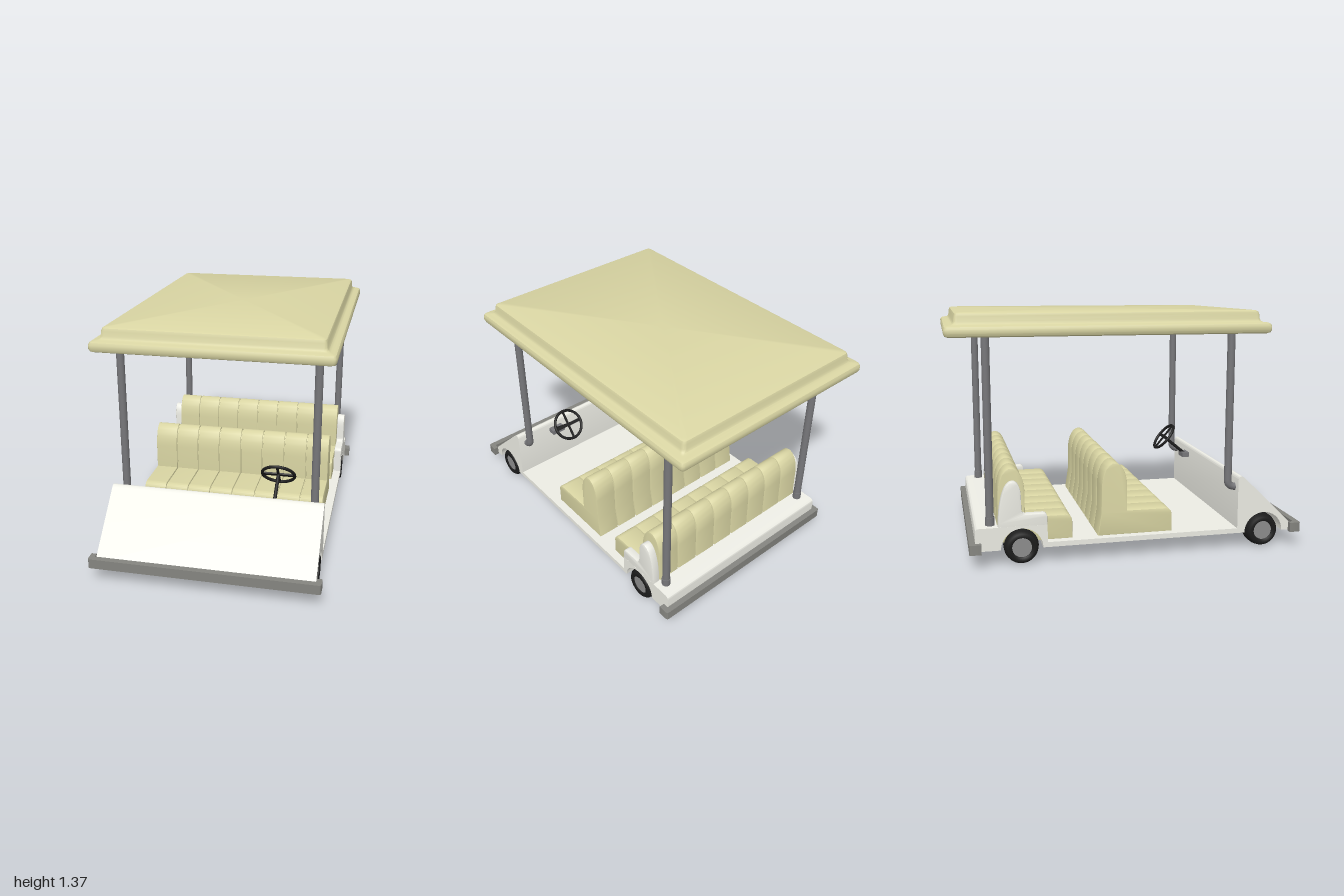
import * as THREE from 'three';
import { toCreasedNormals } from 'three/addons/utils/BufferGeometryUtils.js';

const mat = (color, side = THREE.FrontSide) => new THREE.MeshStandardMaterial({ color, side });
const cream = mat(0xd9d5a3), white = mat(0xecece4), steel = mat(0x77777a);
const bumperGrey = mat(0x858580), rubber = mat(0x1c1c1c), hubGrey = mat(0x8c8c8c);

function add(parent, name, geo, material, x = 0, y = 0, z = 0) {
  const mesh = new THREE.Mesh(geo, material);
  mesh.name = name;
  mesh.position.set(x, y, z);
  parent.add(mesh);
  return mesh;
}

// Side profile drawn in (z, y), extruded to a width centred on x = 0
function sideExtrude(shape, width, bevel = 0) {
  const geo = new THREE.ExtrudeGeometry(shape, {
    depth: width - 2 * bevel, bevelEnabled: bevel > 0, bevelSize: bevel, bevelThickness: bevel,
    bevelOffset: -bevel, bevelSegments: 2, curveSegments: 20,
  });
  geo.translate(0, 0, -(width - 2 * bevel) / 2);
  geo.rotateY(-Math.PI / 2);
  return toCreasedNormals(geo, 0.6);
}

// Floor, sloping nose and rear deck in one profile, with wheel tunnels
function bodyShape() {
  const s = new THREE.Shape();
  s.moveTo(0.97, 0.092);
  s.lineTo(0.97, 0.11);
  s.lineTo(0.66, 0.415);
  s.quadraticCurveTo(0.625, 0.445, 0.62, 0.40);
  s.lineTo(0.62, 0.12);
  s.lineTo(-0.48, 0.12);
  s.lineTo(-0.48, 0.22);
  s.lineTo(-0.85, 0.22);
  s.quadraticCurveTo(-0.872, 0.22, -0.872, 0.195);
  s.lineTo(-0.872, 0.092);
  s.lineTo(-0.735, 0.092);
  s.absarc(-0.62, 0.092, 0.115, Math.PI, 0, true);
  s.lineTo(0.665, 0.092);
  s.absarc(0.78, 0.092, 0.115, Math.PI, 0, true);
  s.closePath();
  return s;
}

// Arm rest beside the rear bench
function armShape() {
  const s = new THREE.Shape();
  s.moveTo(-0.48, 0.215);
  s.lineTo(-0.48, 0.26);
  s.quadraticCurveTo(-0.48, 0.285, -0.505, 0.285);
  s.lineTo(-0.595, 0.285);
  s.quadraticCurveTo(-0.62, 0.285, -0.62, 0.315);
  s.lineTo(-0.622, 0.39);
  s.bezierCurveTo(-0.625, 0.49, -0.69, 0.485, -0.715, 0.42);
  s.quadraticCurveTo(-0.745, 0.35, -0.748, 0.215);
  s.closePath();
  return s;
}

// Bench profile; d shrinks it for the core between the cushions
function seatShape(d) {
  const s = new THREE.Shape();
  s.moveTo(0.24 - d, 0.118);
  s.lineTo(0.24 - d, 0.21);
  s.quadraticCurveTo(0.24 - d, 0.255 - d, 0.195 - d, 0.255 - d);
  s.lineTo(-0.022 - d, 0.255 - d);
  s.lineTo(-0.022 - d, 0.40);
  s.bezierCurveTo(-0.03 - d, 0.575 - d, -0.16 + d, 0.575 - d, -0.168 + d, 0.40);
  s.lineTo(-0.17 + d, 0.25);
  s.lineTo(-0.19 + d, 0.118);
  s.closePath();
  return s;
}

function bench(z) {
  const g = new THREE.Group();
  g.name = 'bench';
  add(g, 'benchCore', sideExtrude(seatShape(0.012), 1.1), cream);
  const cushion = sideExtrude(seatShape(0), 0.134, 0.004);
  for (let i = 0; i < 8; i++) add(g, 'cushion', cushion, cream, (i - 3.5) * 0.14);
  g.position.z = z;
  return g;
}

// Roof: rounded rectangles stacked along an [inset, height] profile
function roofGeometry(hx, hz) {
  const profile = [[0.02, 1.24], [0.006, 1.246], [0, 1.26], [0, 1.28], [0.006, 1.294], [0.02, 1.30],
    [0.036, 1.301], [0.047, 1.307], [0.053, 1.32], [0.055, 1.345], [0.06, 1.36], [0.072, 1.366]];
  const pos = [], idx = [], steps = 4, r = 0.02, n = 4 * (steps + 1);
  for (const [inset, y] of profile) {
    for (let c = 0; c < 4; c++) {
      const sx = c === 0 || c === 3 ? 1 : -1, sz = c < 2 ? 1 : -1;
      for (let k = 0; k <= steps; k++) {
        const a = (c + k / steps) * Math.PI / 2;
        pos.push(sx * (hx - inset - r) + r * Math.cos(a), y, sz * (hz - inset - r) + r * Math.sin(a));
      }
    }
  }
  const rows = profile.length, top = rows * n, bottom = top + 1;
  pos.push(0, profile[rows - 1][1], 0, 0, profile[0][1], 0);
  for (let j = 0; j < n; j++) {
    const k = (j + 1) % n, last = (rows - 1) * n;
    for (let i = 0; i < rows - 1; i++) {
      const a = i * n + j, b = i * n + k;
      idx.push(a, a + n, b, b, a + n, b + n);
    }
    idx.push(last + j, top, last + k, j, k, bottom);
  }
  const geo = new THREE.BufferGeometry();
  geo.setAttribute('position', new THREE.Float32BufferAttribute(pos, 3));
  geo.setIndex(idx);
  return toCreasedNormals(geo, 0.7);
}

// C-shaped bumper: a bar across with short returns at the ends
function bumperGeometry() {
  const s = new THREE.Shape();
  s.moveTo(-0.637, 0);
  s.lineTo(-0.607, 0);
  s.lineTo(-0.607, 0.03);
  s.lineTo(0.607, 0.03);
  s.lineTo(0.607, 0);
  s.lineTo(0.637, 0);
  s.lineTo(0.637, 0.05);
  s.quadraticCurveTo(0.637, 0.065, 0.622, 0.065);
  s.lineTo(-0.622, 0.065);
  s.quadraticCurveTo(-0.637, 0.065, -0.637, 0.05);
  s.closePath();
  const geo = new THREE.ExtrudeGeometry(s, { depth: 0.055, bevelEnabled: false });
  geo.rotateX(Math.PI / 2);
  return toCreasedNormals(geo, 0.6);
}

function wheel() {
  const g = new THREE.Group();
  g.name = 'wheel';
  const pts = [[0.053, -0.05], [0.056, -0.062], [0.078, -0.063], [0.09, -0.05], [0.096, -0.02],
    [0.096, 0.02], [0.09, 0.05], [0.078, 0.063], [0.056, 0.062], [0.053, 0.05]];
  const tyre = new THREE.LatheGeometry(pts.map(([r, h]) => new THREE.Vector2(r, h)), 36);
  add(g, 'tyre', tyre.rotateZ(Math.PI / 2), rubber);
  add(g, 'hub', new THREE.CylinderGeometry(0.054, 0.054, 0.112, 32).rotateZ(Math.PI / 2), hubGrey);
  return g;
}

// Wheel rim, cross spokes and a column running down to the dash
function steering() {
  const g = new THREE.Group();
  g.name = 'steering';
  add(g, 'steeringRim', new THREE.TorusGeometry(0.093, 0.009, 10, 40), rubber);
  add(g, 'crossSpoke', new THREE.BoxGeometry(0.18, 0.02, 0.01), rubber);
  add(g, 'uprightSpoke', new THREE.BoxGeometry(0.012, 0.18, 0.01), rubber);
  add(g, 'column', new THREE.CylinderGeometry(0.01, 0.01, 0.2, 14).rotateX(Math.PI / 2), rubber, 0, 0, -0.1);
  g.position.set(0.32, 0.49, 0.452);
  g.lookAt(0.32, 0.49 + 0.64, 0.452 - 0.77);
  return g;
}

export function createModel() {
  const model = new THREE.Group();
  model.name = 'openCart';

  add(model, 'body', sideExtrude(bodyShape(), 1.21), white);
  add(model, 'roof', roofGeometry(0.648, 0.89), cream, 0, 0, -0.11);
  model.add(bench(0), bench(-0.575), steering());
  add(model, 'columnMount', new THREE.BoxGeometry(0.09, 0.03, 0.05), steel, 0.32, 0.365, 0.597);

  const bumper = bumperGeometry();
  add(model, 'frontBumper', bumper, bumperGrey, 0, 0.14, 0.935);
  add(model, 'rearBumper', bumper, bumperGrey, 0, 0.14, -0.84).rotation.y = Math.PI;

  // Front posts bend into the dash; rear posts stand on the deck
  const bend = new THREE.CurvePath();
  const v = (y, z) => new THREE.Vector3(0, y, z);
  bend.add(new THREE.LineCurve3(v(1.25, 0.578), v(0.395, 0.578)));
  bend.add(new THREE.QuadraticBezierCurve3(v(0.395, 0.578), v(0.355, 0.578), v(0.355, 0.63)));
  const frontPost = new THREE.TubeGeometry(bend, 120, 0.022, 16);
  const rearPost = new THREE.CylinderGeometry(0.022, 0.022, 1.04, 20);
  const collar = new THREE.CylinderGeometry(0.025, 0.025, 0.05, 20);
  const arm = sideExtrude(armShape(), 0.046, 0.006);

  for (const side of [-1, 1]) {
    add(model, 'frontPost', frontPost, steel, side * 0.545);
    add(model, 'rearPost', rearPost, steel, side * 0.545, 0.73, -0.787);
    add(model, 'postCollar', collar, steel, side * 0.545, 0.24, -0.787);
    add(model, 'armRest', arm, white, side * 0.582);
    for (const z of [0.78, -0.62]) {
      const w = wheel();
      w.position.set(side * 0.54, 0.096, z);
      model.add(w);
    }
  }
  return model;
}
